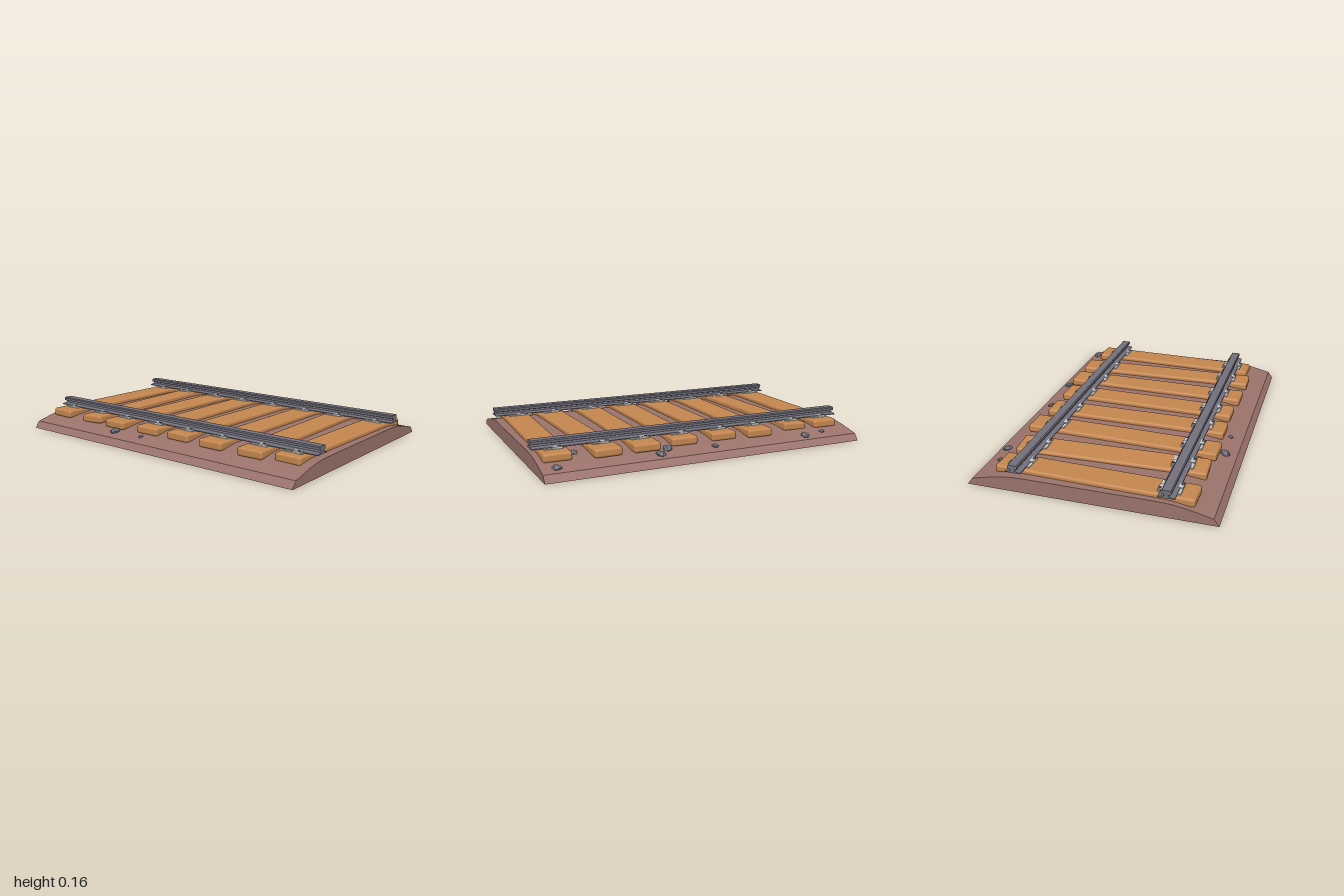
import * as THREE from 'three';
import { toCreasedNormals } from 'three/addons/utils/BufferGeometryUtils.js';
import { RoundedBoxGeometry } from 'three/addons/geometries/RoundedBoxGeometry.js';

const mat = (name, color) => {
  const m = new THREE.MeshStandardMaterial({ color });
  m.name = name;
  return m;
};

// Mirrored half profile [z, y] running from the bottom up, extruded along x
function extrudeAlongX(half, length) {
  const points = [...half, ...half.slice().reverse().map(([z, y]) => [-z, y])];
  const shape = new THREE.Shape(points.map(([z, y]) => new THREE.Vector2(z, y)));
  const geo = new THREE.ExtrudeGeometry(shape, { depth: length, bevelEnabled: false });
  geo.rotateY(Math.PI / 2).translate(-length / 2, 0, 0);
  return toCreasedNormals(geo, 0.3);
}

export function createModel() {
  const gravel = mat('gravel brown', 0x9a736b);
  const wood = mat('wood', 0xc4864f);
  const steel = mat('rail steel', 0x72707c);
  const plateGrey = mat('plate grey', 0xc6cacb);
  const stone = mat('stone grey', 0x6c6d7b);

  const root = new THREE.Group();
  root.name = 'railwayTrack';
  const add = (parent, name, geo, material, x = 0, y = 0, z = 0) => {
    const mesh = new THREE.Mesh(geo, material);
    mesh.name = name;
    mesh.position.set(x, y, z);
    parent.add(mesh);
    return mesh;
  };

  // Ballast bed with rounded shoulders
  add(root, 'ballastBed', extrudeAlongX([
    [0.715, 0], [0.685, 0.04], [0.6, 0.061], [0.54, 0.074], [0.48, 0.084], [0.42, 0.089], [0.34, 0.09],
  ], 2), gravel);

  // Rails: foot, web and head
  const railGeo = extrudeAlongX([
    [0.047, 0.118], [0.047, 0.123], [0.014, 0.129], [0.011, 0.138],
    [0.027, 0.143], [0.029, 0.158], [0.024, 0.164],
  ], 2);
  for (const s of [1, -1]) add(root, s > 0 ? 'frontRail' : 'backRail', railGeo, steel, 0, 0, s * 0.432);

  // Sleepers: back end x, z, front end x, z, roll
  const sleepers = [
    [-0.86, -0.565, -0.89, 0.58, 0], [-0.645, -0.55, -0.61, 0.575, 0.06],
    [-0.362, -0.595, -0.392, 0.588, 0], [-0.13, -0.57, -0.125, 0.575, 0],
    [0.13, -0.573, 0.115, 0.57, 0], [0.377, -0.605, 0.368, 0.583, 0],
    [0.607, -0.605, 0.64, 0.585, 0], [0.885, -0.575, 0.858, 0.55, 0],
  ];
  const plateGeo = new THREE.BoxGeometry(0.11, 0.006, 0.128);
  const clipGeo = new THREE.BoxGeometry(0.05, 0.007, 0.026);
  const boltGeo = new THREE.CylinderGeometry(0.009, 0.009, 0.009, 6);
  sleepers.forEach(([x0, z0, x1, z1, roll]) => {
    const yaw = Math.atan2(x1 - x0, z1 - z0);
    const length = Math.hypot(x1 - x0, z1 - z0);
    const geo = new RoundedBoxGeometry(0.162, 0.05, length, 2, 0.014);
    const tie = add(root, 'sleeper', geo, wood, (x0 + x1) / 2, 0.09, (z0 + z1) / 2);
    tie.rotation.set(0, yaw, roll, 'YXZ');

    // Base plate with clips and bolts below each rail
    for (const s of [1, -1]) {
      const z = s * 0.432;
      const fastening = new THREE.Group();
      fastening.name = 'railFastening';
      fastening.position.set(x0 + (x1 - x0) * (z - z0) / (z1 - z0), 0.117, z);
      fastening.rotation.y = yaw;
      root.add(fastening);
      add(fastening, 'basePlate', plateGeo, plateGrey);
      for (const e of [1, -1]) {
        add(fastening, 'railClip', clipGeo, plateGrey, e * 0.022, 0.006, e * 0.05);
        add(fastening, 'bolt', boltGeo, steel, e * 0.034, 0.009, e * 0.054);
      }
    }
  });

  // Loose stones on the shoulders: x, y, z, radius
  const stones = [
    [-0.795, 0.06, -0.615, 0.018], [-0.655, 0.055, -0.635, 0.032], [-0.035, 0.058, -0.625, 0.022],
    [0.25, 0.067, -0.585, 0.035], [0.315, 0.055, -0.635, 0.032], [0.91, 0.055, -0.635, 0.03],
    [0.772, 0.085, -0.495, 0.024], [-0.74, 0.085, -0.49, 0.018],
    [-0.35, 0.062, 0.615, 0.034], [-0.137, 0.06, 0.61, 0.017],
  ];
  const stoneGeo = new THREE.IcosahedronGeometry(1, 0);
  stones.forEach(([x, y, z, r], i) => {
    const rock = add(root, 'looseStone', stoneGeo, stone, x, y, z);
    rock.scale.set(r, r * 0.5, r * 0.9);
    rock.rotation.set(Math.sign(z) * 0.25, i * 1.3, 0, 'XYZ');
  });
  // Stones are faceted
  stone.flatShading = true;

  return root;
}
